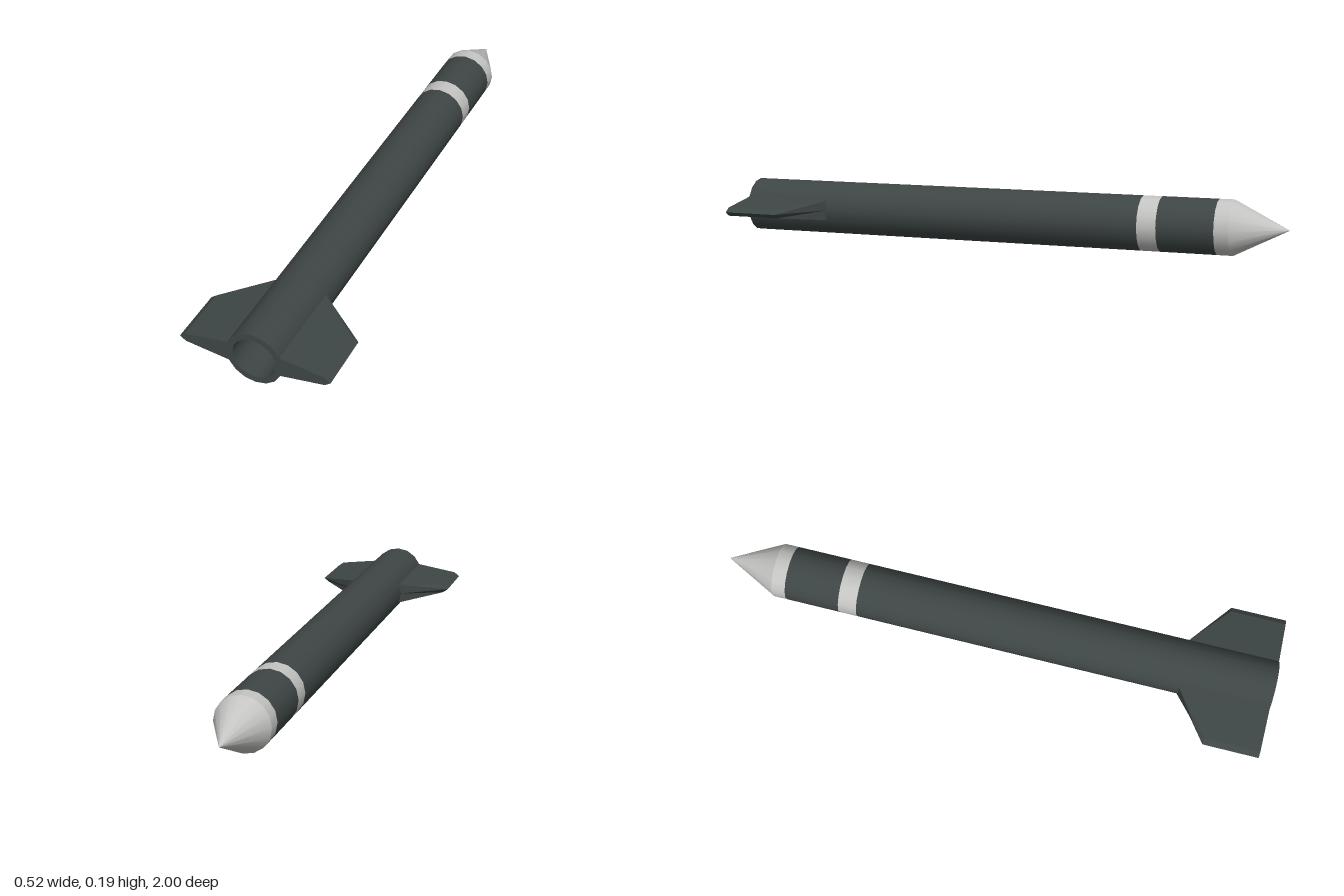
import * as THREE from 'three';

const R = 0.097;      // body radius, also the height of the axis
const BORE = 0.075;   // exhaust bore radius
const SIDES = 16;

export function createModel() {
  const model = new THREE.Group();
  model.name = 'rocket';

  const hull = new THREE.MeshStandardMaterial({ color: 0x3e4645 });
  hull.name = 'dark grey green';
  const pale = new THREE.MeshStandardMaterial({ color: 0xc4c4c2 });
  pale.name = 'pale grey';

  // Surface of revolution along z between two [radius, z] points, listed tail to nose
  function ring(name, material, a, b) {
    const points = [a, b].map(([r, z]) => new THREE.Vector2(r, -z));
    const geometry = new THREE.LatheGeometry(points, SIDES);
    geometry.rotateX(-Math.PI / 2);
    const mesh = new THREE.Mesh(geometry, material);
    mesh.name = name;
    mesh.position.y = R;
    model.add(mesh);
  }

  // Exhaust recess and tail rim
  ring('exhaustFloor', hull, [0, 0.7], [BORE, 0.7]);
  ring('exhaustBore', hull, [BORE, 0.7], [BORE, 1]);
  ring('tailRim', hull, [BORE, 1], [R, 1]);

  // Body sections and pale bands
  ring('mainBody', hull, [R, 1], [R, -0.495]);
  ring('paleBand', pale, [R, -0.495], [R, -0.562]);
  ring('forwardBody', hull, [R, -0.562], [R, -0.76]);
  ring('noseCollar', pale, [R, -0.76], [R, -0.81]);
  ring('noseCone', pale, [R, -0.81], [0, -1]);

  // Tapered fin: swept front, square tail, pointed outer edge
  function fin(side) {
    const root = [[0.088, 0.037], [0.088, 0], [0.088, -0.037]];
    const tip = [[0.241, 0.015], [0.261, 0], [0.241, -0.015]];
    const at = (list, z) => list.map(([x, y]) => new THREE.Vector3(x * side, y, z));
    const rootFront = at(root, 0.677), tipFront = at(tip, 0.802);
    const rootBack = at(root, 1), tipBack = at(tip, 1);
    const positions = [];
    const quad = (a, b, c, d) => {
      const order = side > 0 ? [a, b, c, a, c, d] : [a, c, b, a, d, c];
      order.forEach((p) => positions.push(p.x, p.y, p.z));
    };
    quad(rootFront[0], rootBack[0], tipBack[0], tipFront[0]);   // top
    quad(rootBack[2], rootFront[2], tipFront[2], tipBack[2]);   // bottom
    for (let i = 0; i < 2; i++) {
      quad(tipFront[i], tipBack[i], tipBack[i + 1], tipFront[i + 1]);    // outer edge
      quad(rootFront[i], tipFront[i], tipFront[i + 1], rootFront[i + 1]); // leading edge
      quad(rootBack[i], rootBack[i + 1], tipBack[i + 1], tipBack[i]);    // tail end
    }
    const geometry = new THREE.BufferGeometry();
    geometry.setAttribute('position', new THREE.Float32BufferAttribute(positions, 3));
    geometry.computeVertexNormals();
    const mesh = new THREE.Mesh(geometry, hull);
    mesh.name = side > 0 ? 'leftFin' : 'rightFin';
    mesh.position.y = R;
    model.add(mesh);
  }
  fin(1);
  fin(-1);

  return model;
}
